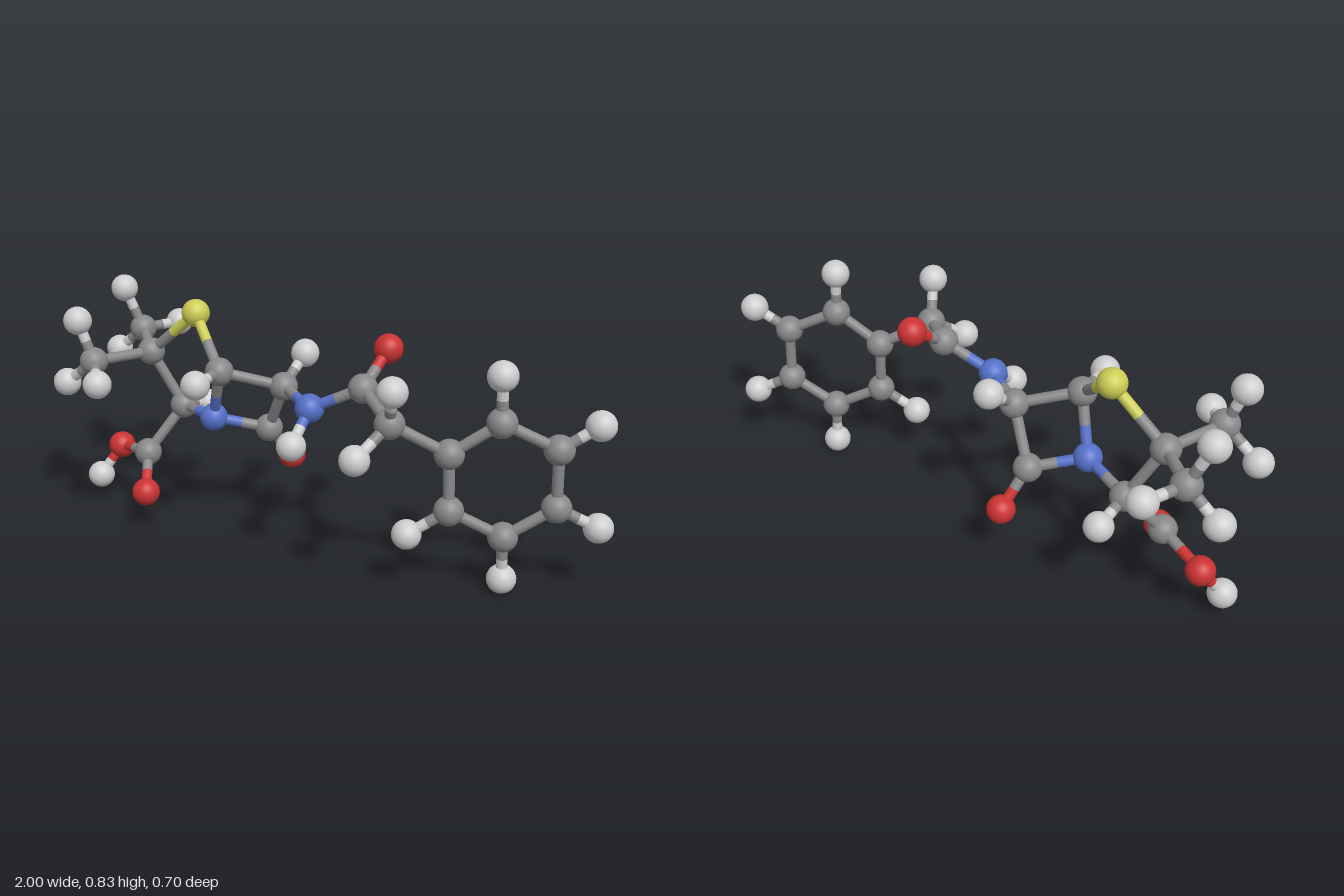
import * as THREE from 'three';

const ATOM_RADIUS = 0.049;
const BOND_RADIUS = 0.0185;

// Atom positions: element, x, y, z
const ATOMS = {
  // fused four- and five-sided rings
  sulfur: ['S', -0.495, 0.776, -0.022],
  ringC5: ['C', -0.33, 0.62, 0.087],
  ringC6: ['C', -0.146, 0.564, -0.03],
  ringC7: ['C', -0.24, 0.377, -0.083],
  ringN: ['N', -0.4, 0.423, 0.026],
  ringC3: ['C', -0.59, 0.408, -0.06],
  ringC2: ['C', -0.69, 0.61, -0.013],
  ringO: ['O', -0.203, 0.247, -0.18],
  ringH5: ['H', -0.323, 0.618, 0.24],
  ringH6: ['H', -0.126, 0.655, -0.144],
  ringH3: ['H', -0.582, 0.376, -0.199],
  // two methyl groups
  methylA: ['C', -0.78, 0.617, 0.198],
  methylAH1: ['H', -0.83, 0.759, 0.21],
  methylAH2: ['H', -0.685, 0.578, 0.302],
  methylAH3: ['H', -0.906, 0.521, 0.2],
  methylB: ['C', -0.837, 0.637, -0.163],
  methylBH1: ['H', -0.897, 0.788, -0.141],
  methylBH2: ['H', -0.952, 0.542, -0.16],
  methylBH3: ['H', -0.773, 0.636, -0.304],
  // acid group
  acidC: ['C', -0.68, 0.243, 0.05],
  acidO: ['O', -0.606, 0.145, 0.17],
  acidOH: ['O', -0.858, 0.211, -0.022],
  acidH: ['H', -0.916, 0.1, 0.04],
  // amide link
  amideN: ['N', 0.024, 0.553, 0.09],
  amideH: ['H', 0.024, 0.461, 0.21],
  amideC: ['C', 0.197, 0.638, 0.045],
  amideO: ['O', 0.217, 0.737, -0.096],
  linkC: ['C', 0.36, 0.592, 0.182],
  linkH1: ['H', 0.398, 0.722, 0.247],
  linkH2: ['H', 0.302, 0.502, 0.302],
  // six-sided ring
  phenyl1: ['C', 0.521, 0.489, 0.083],
  phenyl2: ['C', 0.666, 0.6, 0.023],
  phenyl3: ['C', 0.826, 0.513, -0.062],
  phenyl4: ['C', 0.828, 0.312, -0.072],
  phenyl5: ['C', 0.682, 0.206, 0],
  phenyl6: ['C', 0.527, 0.296, 0.083],
  phenylH2: ['H', 0.662, 0.753, 0.03],
  phenylH3: ['H', 0.934, 0.594, -0.118],
  phenylH4: ['H', 0.949, 0.243, -0.137],
  phenylH5: ['H', 0.682, 0.052, -0.01],
  phenylH6: ['H', 0.409, 0.21, 0.141],
};

// Each chain bonds every atom to the next one
const CHAINS = [
  'ringC5 sulfur ringC2 ringC3 ringN ringC5 ringC6 ringC7 ringN',
  'ringC7 ringO', 'ringC5 ringH5', 'ringC6 ringH6', 'ringC3 ringH3',
  'methylAH1 methylA ringC2 methylB methylBH1',
  'methylAH2 methylA methylAH3', 'methylBH2 methylB methylBH3',
  'ringC3 acidC acidOH acidH', 'acidC acidO',
  'ringC6 amideN amideC linkC phenyl1', 'amideN amideH', 'amideC amideO',
  'linkH1 linkC linkH2',
  'phenyl1 phenyl2 phenyl3 phenyl4 phenyl5 phenyl6 phenyl1',
  'phenyl2 phenylH2', 'phenyl3 phenylH3', 'phenyl4 phenylH4',
  'phenyl5 phenylH5', 'phenyl6 phenylH6',
];

function makeMaterial(name, color) {
  const material = new THREE.MeshStandardMaterial({ color });
  material.name = name;
  return material;
}

export function createModel() {
  const model = new THREE.Group();
  model.name = 'moleculeModel';

  const materials = {
    C: makeMaterial('carbon grey', 0x888888),
    H: makeMaterial('hydrogen light grey', 0xcccccc),
    N: makeMaterial('nitrogen blue', 0x5570c8),
    O: makeMaterial('oxygen red', 0xcc3333),
    S: makeMaterial('sulfur yellow', 0xcccc55),
  };
  const ball = new THREE.SphereGeometry(ATOM_RADIUS, 32, 20);
  const stick = new THREE.CylinderGeometry(BOND_RADIUS, BOND_RADIUS, 1, 20, 1, true);
  const up = new THREE.Vector3(0, 1, 0);
  const position = (name) => new THREE.Vector3(...ATOMS[name].slice(1));

  // Atoms
  const atoms = new THREE.Group();
  atoms.name = 'atoms';
  for (const [name, [element]] of Object.entries(ATOMS)) {
    const mesh = new THREE.Mesh(ball, materials[element]);
    mesh.name = name;
    mesh.position.copy(position(name));
    atoms.add(mesh);
  }

  // Half a bond, from an atom to the midpoint, in that atom's colour
  const bonds = new THREE.Group();
  bonds.name = 'bonds';
  function addHalfBond(from, to) {
    const start = position(from);
    const middle = start.clone().lerp(position(to), 0.5);
    const direction = middle.clone().sub(start);
    const mesh = new THREE.Mesh(stick, materials[ATOMS[from][0]]);
    mesh.name = `${from}Bond`;
    mesh.position.copy(start).lerp(middle, 0.5);
    mesh.scale.y = direction.length();
    mesh.quaternion.setFromUnitVectors(up, direction.normalize());
    bonds.add(mesh);
  }
  for (const chain of CHAINS) {
    const names = chain.split(' ');
    for (let i = 1; i < names.length; i++) {
      addHalfBond(names[i - 1], names[i]);
      addHalfBond(names[i], names[i - 1]);
    }
  }

  model.add(atoms, bonds);
  return model;
}
